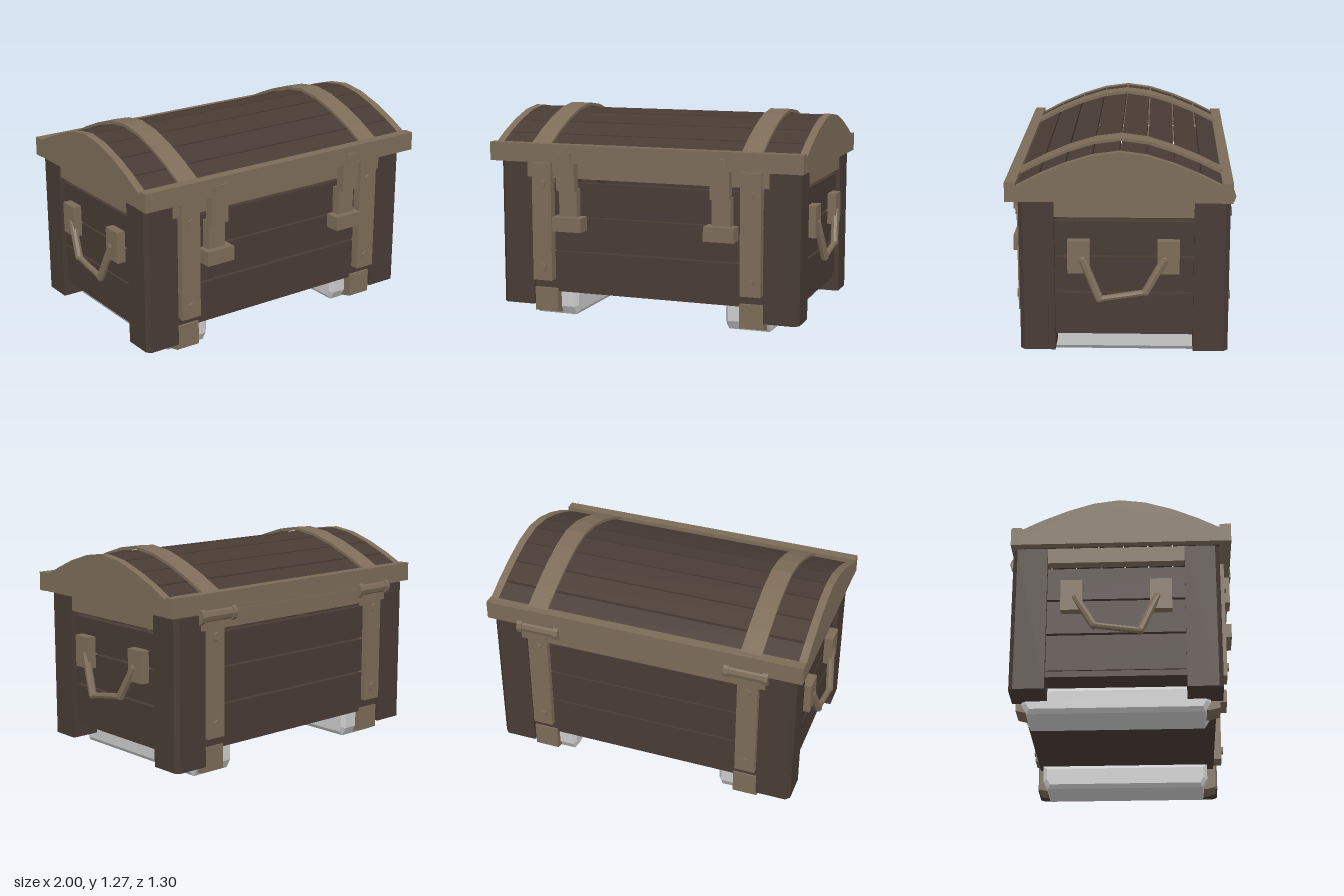
import * as THREE from 'three';

const dark = new THREE.MeshStandardMaterial({ color: 0x483b34, flatShading: true });
const tan = new THREE.MeshStandardMaterial({ color: 0x7c6c58, flatShading: true });
const grey = new THREE.MeshStandardMaterial({ color: 0xcccccc, flatShading: true });

export function createModel() {
  const root = new THREE.Group();

  function add(name, geometry, material) {
    const mesh = new THREE.Mesh(geometry, material);
    mesh.name = name;
    root.add(mesh);
    return mesh;
  }

  // Box given by its limits along each axis
  function box(name, material, [x0, x1], [y0, y1], [z0, z1]) {
    const g = new THREE.BoxGeometry(Math.abs(x1 - x0), y1 - y0, z1 - z0);
    g.translate((x0 + x1) / 2, (y0 + y1) / 2, (z0 + z1) / 2);
    return add(name, g, material);
  }

  // Outline of [z, y] points extruded from x0 to x1
  function extrudeX(name, material, points, x0, x1) {
    const shape = new THREE.Shape(points.map(([z, y]) => new THREE.Vector2(-z, y)));
    const g = new THREE.ExtrudeGeometry(shape, { depth: x1 - x0, bevelEnabled: false });
    g.rotateY(Math.PI / 2).translate(x0, 0, 0);
    return add(name, g, material);
  }

  // Round bar between two points
  function bar(name, material, a, b, radius, sides) {
    const dir = b.clone().sub(a);
    const mesh = add(name, new THREE.CylinderGeometry(radius, radius, dir.length(), sides), material);
    mesh.position.copy(a).add(b).multiplyScalar(0.5);
    mesh.quaternion.setFromUnitVectors(new THREE.Vector3(0, 1, 0), dir.normalize());
    return mesh;
  }

  const front = 0.575, back = -0.61;

  // Floor and wall planks, with open gaps between the boards
  box('floor', dark, [-0.9, 0.9], [0.155, 0.2], [back + 0.03, front - 0.03]);
  for (const [y0, y1] of [[0.19, 0.405], [0.418, 0.62], [0.632, 0.83]]) {
    box('frontPlank', dark, [-0.76, 0.76], [y0, y1], [front - 0.07, front - 0.025]);
    box('backPlank', dark, [-0.76, 0.76], [y0, y1], [back + 0.025, back + 0.07]);
    for (const s of [-1, 1])
      box('sidePlank', dark, [s * 0.86, s * 0.91], [y0, y1], [-0.44, 0.41]);
  }

  // Upper frame of the body
  box('frontBeam', tan, [-0.76, 0.76], [0.86, 0.955], [front - 0.06, front + 0.005]);
  box('backBeam', tan, [-0.76, 0.76], [0.86, 0.955], [back - 0.005, back + 0.06]);
  for (const s of [-1, 1])
    box('sideBeam', tan, [s * 0.87, s * 0.93], [0.86, 0.955], [-0.43, 0.4]);

  // Corner posts with a chamfered outer edge
  for (const s of [-1, 1]) for (const f of [-1, 1]) {
    const xo = s * 0.94, xi = s * 0.73;
    const zo = f > 0 ? front : back, zi = f > 0 ? 0.375 : -0.41, c = 0.025;
    const shape = new THREE.Shape([[xi, zi], [xi, zo], [xo - s * c, zo], [xo, zo - f * c], [xo, zi]]
      .map(([x, z]) => new THREE.Vector2(x, -z)));
    const g = new THREE.ExtrudeGeometry(shape, { depth: 0.88, bevelEnabled: false });
    add('cornerPost', g.rotateX(-Math.PI / 2).translate(0, 0.07, 0), dark);
  }

  // Ground runners with bevelled lower edges
  for (const s of [-1, 1]) {
    const shape = new THREE.Shape([[-0.46, 0.025], [0.51, 0.025], [0.53, 0.06], [0.53, 0.13],
      [-0.48, 0.13], [-0.48, 0.06]].map(([x, y]) => new THREE.Vector2(x, y)));
    const g = new THREE.ExtrudeGeometry(shape,
      { depth: 0.25, bevelSize: 0.025, bevelThickness: 0.02, bevelSegments: 1 });
    add('runner', g.rotateY(Math.PI / 2).translate(s * 0.62 - 0.125, 0, 0), grey);
  }

  // Vertical straps, bolts and foot blocks on front and back
  for (const s of [-1, 1]) for (const f of [-1, 1]) {
    const zo = f > 0 ? front + 0.03 : back - 0.01;
    const zi = zo - f * 0.065;
    const zRange = [Math.min(zo, zi), Math.max(zo, zi)];
    box('bodyStrap', tan, [s * 0.595, s * 0.72], [0.23, 0.95], zRange);
    for (const y of [0.31, 0.82])
      bar('bolt', tan, new THREE.Vector3(s * 0.655, y, zo - f * 0.01),
        new THREE.Vector3(s * 0.655, y, zo + f * 0.012), 0.027, 6);
    const a = f > 0 ? 0.56 : -0.59, b = f > 0 ? 0.44 : -0.47;
    extrudeX('footBlock', tan, [[b, 0.015], [a - f * 0.06, 0.015], [a, 0.03], [a, 0.175], [b, 0.175]]
      .slice()[f > 0 ? 'slice' : 'reverse'](), s * 0.655 - 0.075, s * 0.655 + 0.075);
  }

  // Clasps
  for (const s of [-1, 1]) {
    box('claspPlate', tan, [s * 0.425, s * 0.54], [0.79, 0.975], [0.585, 0.643]);
    box('claspTip', tan, [s * 0.445, s * 0.525], [0.97, 1.025], [0.6, 0.652]);
    box('claspTongue', tan, [s * 0.425, s * 0.54], [0.62, 0.8], [0.545, 0.605]);
    box('claspCatch', tan, [s * 0.385, s * 0.57], [0.545, 0.632], [0.55, 0.645]);
  }

  // Carrying handles
  for (const s of [-1, 1]) {
    for (const [z0, z1] of [[0.175, 0.3], [-0.33, -0.205]])
      box('handlePlate', tan, [s * 0.9, s * 0.963], [0.54, 0.73], [z0, z1]);
    const path = [[0.95, 0.62, 0.215], [0.977, 0.395, 0.12], [0.972, 0.435, -0.14], [0.95, 0.62, -0.245]]
      .map(([x, y, z]) => new THREE.Vector3(s * x, y, z));
    for (let i = 0; i < 3; i++) bar('handleBar', tan, path[i], path[i + 1], i === 1 ? 0.018 : 0.024, 8);
    for (const p of path) add('handleJoint', new THREE.SphereGeometry(0.024, 8, 6), tan).position.copy(p);
  }

  // Lid rims
  box('frontRim', tan, [-0.977, 0.975], [0.958, 1.07], [0.58, 0.643]);
  box('backRim', tan, [-0.977, 0.975], [0.958, 1.07], [-0.622, -0.56]);

  // Lid arch, [z, y] along its outer line
  const arch = [[0.59, 1.065], [0.45, 1.138], [0.305, 1.2], [0.155, 1.247], [0.005, 1.267],
    [-0.145, 1.247], [-0.295, 1.2], [-0.44, 1.14], [-0.6, 1.06]];
  const lower = (d) => arch.map(([z, y]) => [z, y - d]);

  // Solid arched ends
  for (const s of [-1, 1])
    extrudeX('lidEnd', tan, [[0.59, 0.96], ...lower(0.022), [-0.6, 0.96]],
      s * 0.953 - 0.023, s * 0.953 + 0.023);

  // Lid planks, one per facet, separated by narrow gaps
  const top = lower(0.026);
  for (let i = 0; i < 8; i++) {
    const [za, ya] = top[i], [zb, yb] = top[i + 1];
    const at = (t, d) => [za + (zb - za) * t, ya + (yb - ya) * t - d];
    const end = i === 6 ? 0.94 : 0.97;
    extrudeX('lidPlank', dark, [at(0.03, 0), at(end, 0), at(end, 0.035), at(0.03, 0.035)], -0.93, 0.93);
  }

  // Lid straps
  for (const s of [-1, 1])
    extrudeX('lidStrap', tan, [...arch, ...lower(0.018).reverse()],
      s * 0.66 - 0.0625, s * 0.66 + 0.0625);

  // Hinges with end collars
  for (const s of [-1, 1]) {
    const at = (dx) => new THREE.Vector3(s * 0.645 + dx, 0.943, -0.598);
    bar('hingeBarrel', tan, at(-0.12), at(0.12), 0.042, 10);
    for (const e of [-1, 1]) bar('hingeCollar', tan, at(e * 0.1), at(e * 0.132), 0.05, 10);
  }

  return root;
}
